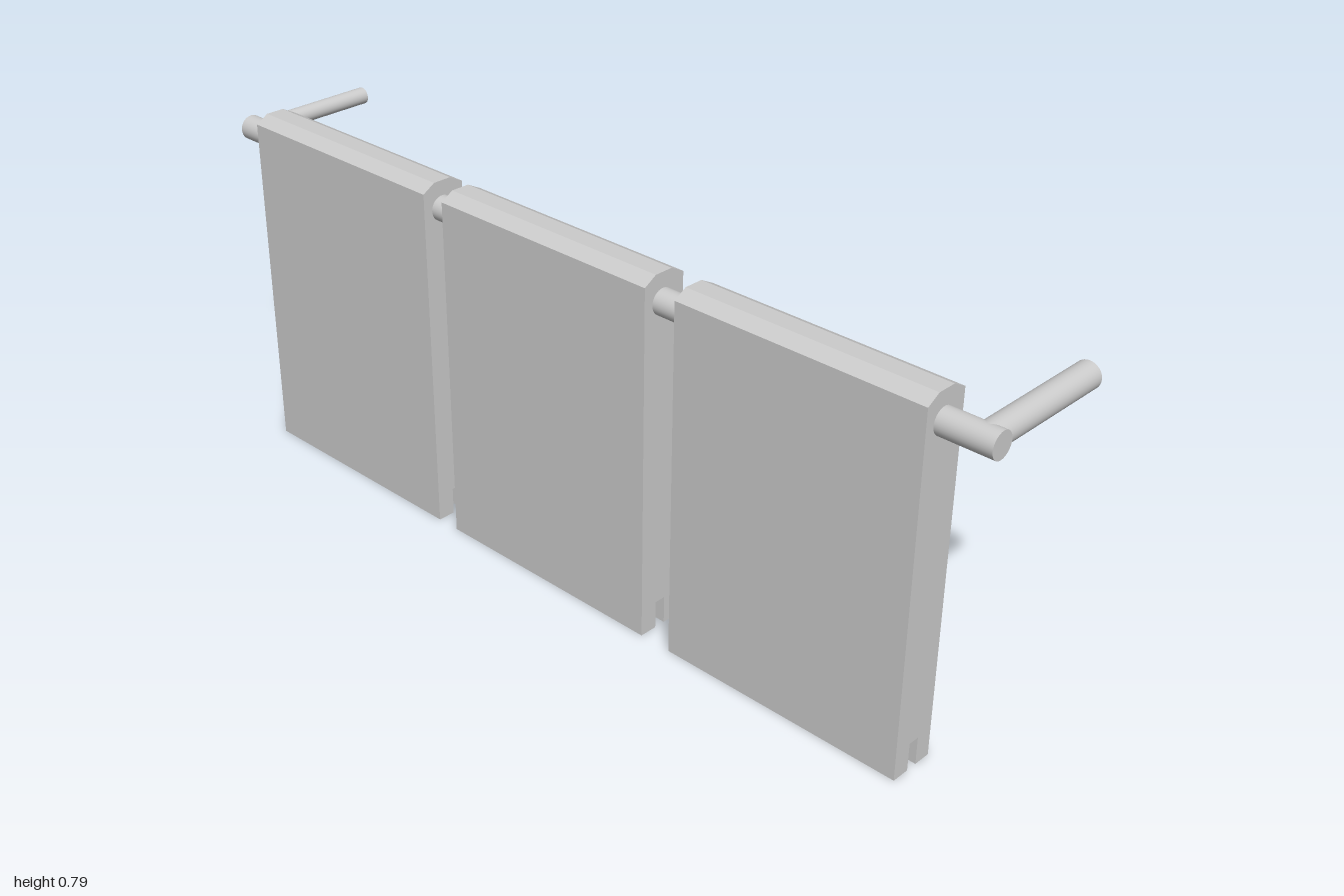
import * as THREE from 'three';

const material = new THREE.MeshStandardMaterial({ color: 0xcccccc });
const ROD_Y = 0.73, ROD_Z = 0.127, ROD_R = 0.0275;

// Cylinder between two points
function bar(name, from, to, radius) {
  const a = new THREE.Vector3(...from), b = new THREE.Vector3(...to);
  const dir = b.clone().sub(a);
  const mesh = new THREE.Mesh(new THREE.CylinderGeometry(radius, radius, dir.length(), 32), material);
  mesh.name = name;
  mesh.position.copy(a).add(b).multiplyScalar(0.5);
  mesh.quaternion.setFromUnitVectors(new THREE.Vector3(0, 1, 0), dir.normalize());
  return mesh;
}

// Slab with a chamfered top and a groove along its bottom edge; profile is (z, y)
function panel(x0, x1) {
  const profile = new THREE.Shape([
    [0.072, 0], [0.11, 0], [0.11, 0.061], [0.135, 0.061], [0.135, 0], [0.175, 0],
    [0.175, 0.773], [0.146, 0.79], [0.104, 0.79], [0.072, 0.773],
  ].map(([z, y]) => new THREE.Vector2(-z, y)));
  const geometry = new THREE.ExtrudeGeometry(profile, { depth: x1 - x0, bevelEnabled: false });
  geometry.rotateY(Math.PI / 2);
  geometry.translate(x0, 0, 0);
  const mesh = new THREE.Mesh(geometry, material);
  mesh.name = 'panel';
  return mesh;
}

export function createModel() {
  const group = new THREE.Group();
  group.name = 'hangingPanels';

  // Three hanging panels
  for (const [x0, x1] of [[-0.91, -0.355], [-0.3, 0.257], [0.33, 0.885]]) group.add(panel(x0, x1));

  // Rod running through the panels
  group.add(bar('rod', [-1, ROD_Y, ROD_Z], [1, ROD_Y, ROD_Z], ROD_R));

  // Support arms reaching back from the rod ends
  group.add(bar('leftArm', [0.968, ROD_Y, ROD_Z], [0.968, ROD_Y, -0.175], ROD_R));
  group.add(bar('rightArm', [-0.981, ROD_Y, ROD_Z], [-0.981, ROD_Y, -0.175], 0.019));
  return group;
}
